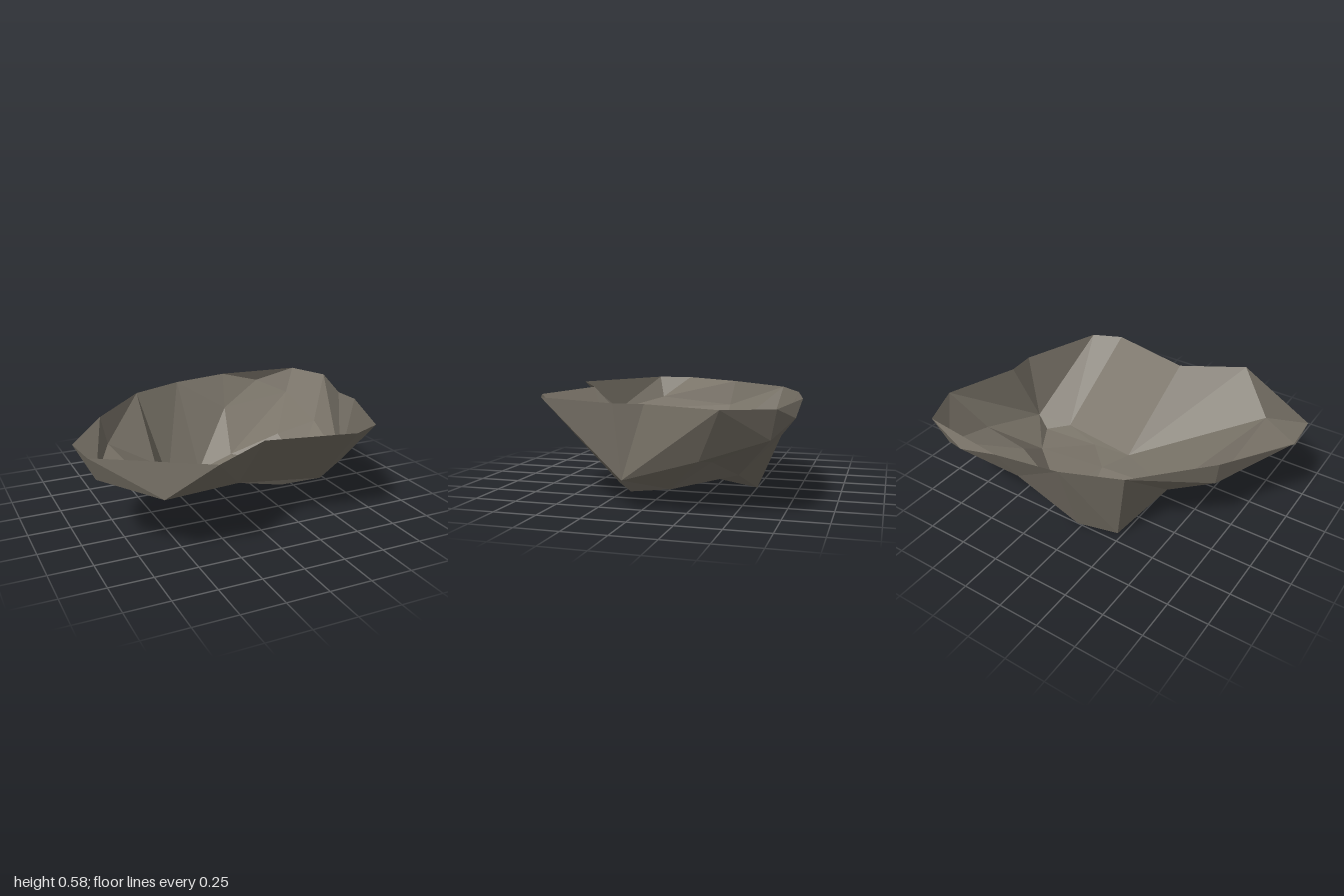
import * as THREE from 'three';

const RIM_Y = 0.585;

// Flat open rim, walked around the outline as [x, z]
const rim = [
  [-1, 0.2], [-0.98, 0.43], [-0.4, 0.8], [-0.03, 0.58], [0.5, 0.69], [0.68, 0.61], [0.86, 0.12],
  [0.85, -0.05], [1, -0.48], [0.89, -0.74], [0.35, -0.8], [-0.03, -0.73], [-0.37, -0.59], [-0.73, -0.2],
];

// Corners of the facets below the rim
const corners = {
  // shallow left shelf
  A: [-0.93, 0.44, 0.39], B: [-0.64, 0.37, 0.64], C: [-0.7, 0.42, -0.17], D: [-0.4, 0.24, -0.18],
  // lowest lump at the back
  E: [-0.22, 0, -0.44], F: [-0.17, 0.01, -0.255], G: [0.03, 0, -0.5], H: [0.24, 0.115, -0.425],
  I: [0.145, 0.1, -0.075],
  // back right side
  J: [0.31, 0.37, -0.68], K: [0.56, 0.245, -0.34], M: [0.85, 0.3, -0.34], N: [0.82, 0.42, -0.7],
  O: [0.62, 0.51, -0.797],
  // front right floor
  L: [0.6, 0.09, -0.12], P: [0.05, 0.13, 0.09], Q: [0.34, 0.078, 0.12], R: [0.59, 0.105, 0.18],
  S: [0.71, 0.09, 0.075], T: [0.79, 0.165, 0.1],
};
rim.forEach(([x, z], i) => { corners['r' + i] = [x, RIM_Y, z]; });

// Fans of facets: a hub corner, then the chain of corners around it
const fans = [
  'A C r13 r0 r1 B C',
  'D C r12 E F I P B C',
  'G F E r11 J H I F',
  'K H N M L H',
  'T R r5 r6 r7 r8 M L S R',
  'Q P I L S R P',
  'N M r8 r9 O J H',
  'R P r3 r4 r5',
  'r2 r1 B P r3',
  'r10 r9 O J r11',
  'r12 r11 E',
  'r12 C r13',
  'H I L',
];

function fanGeometry() {
  const positions = [];
  for (const fan of fans) {
    const [hub, ...chain] = fan.split(' ').map((name) => new THREE.Vector3(...corners[name]));
    for (let i = 0; i + 1 < chain.length; i++) {
      const [b, c] = [chain[i], chain[i + 1]];
      // turn every facet so that its outside looks down
      const up = (b.z - hub.z) * (c.x - hub.x) - (b.x - hub.x) * (c.z - hub.z);
      const facet = up > 0 ? [hub, c, b] : [hub, b, c];
      for (const p of facet) positions.push(p.x, p.y, p.z);
    }
  }
  const geometry = new THREE.BufferGeometry();
  geometry.setAttribute('position', new THREE.Float32BufferAttribute(positions, 3));
  geometry.computeVertexNormals();
  return geometry;
}

export function createModel() {
  const stone = new THREE.MeshStandardMaterial({ color: 0x7a7469, flatShading: true, side: THREE.DoubleSide });
  stone.name = 'stone';

  const shell = new THREE.Mesh(fanGeometry(), stone);
  shell.name = 'rockShell';

  const group = new THREE.Group();
  group.name = 'hollowRock';
  group.add(shell);
  return group;
}
